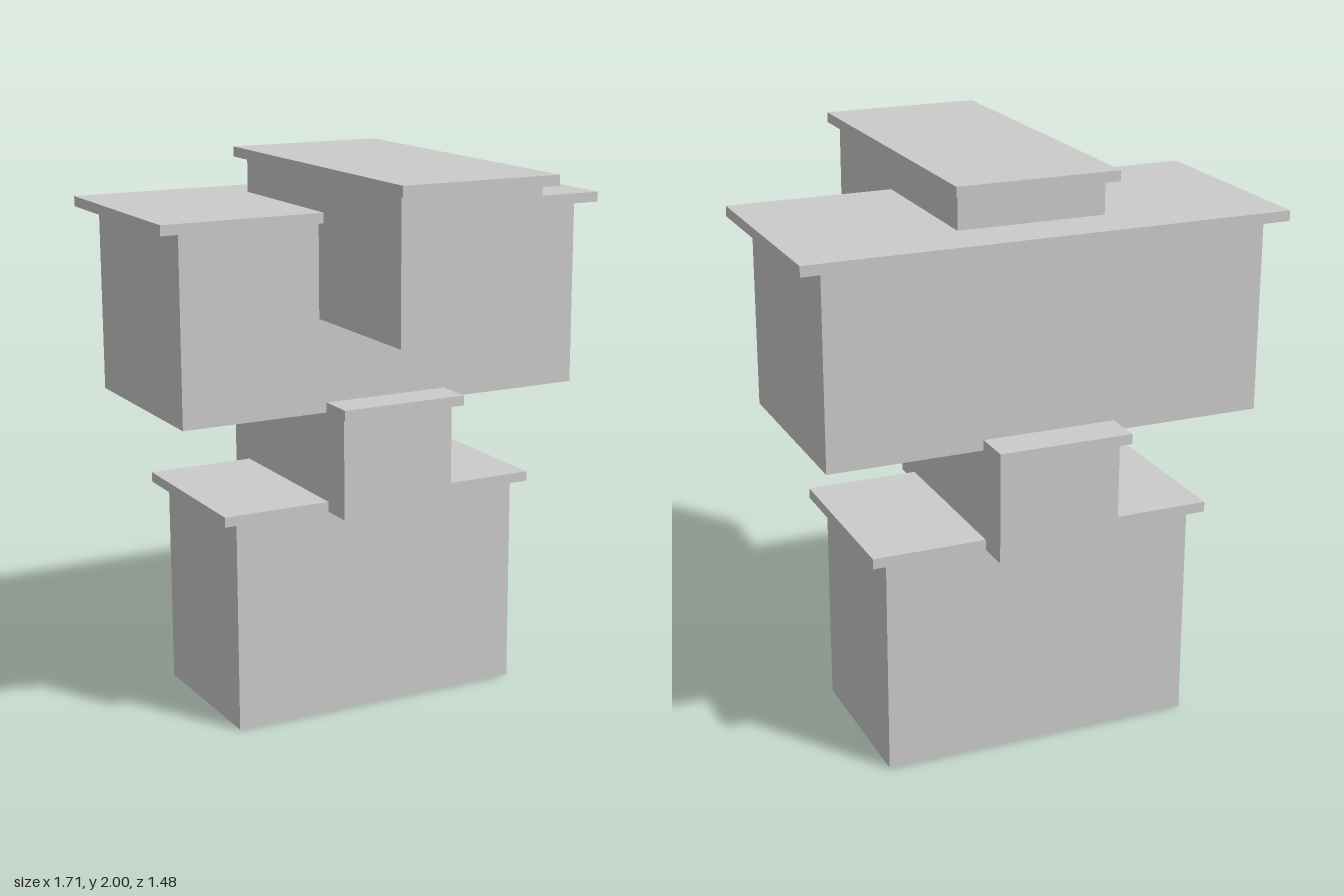
import * as THREE from 'three';

const material = new THREE.MeshStandardMaterial({ color: 0xcccccc });

// Box symmetric in x, given its half width and its y and z extents
function block(name, halfWidth, y0, y1, z0, z1) {
  const mesh = new THREE.Mesh(new THREE.BoxGeometry(halfWidth * 2, y1 - y0, z1 - z0), material);
  mesh.name = name;
  mesh.position.set(0, (y0 + y1) / 2, (z0 + z1) / 2);
  return mesh;
}

// Each storey: a plain volume and an overhanging flat roof slab
const ROOF = 0.036;
const storeys = [
  { name: 'groundStorey', wall: [0.56, 0, 0.769, -0.542, 0.058], roof: [0.615, -0.57, 0.085] },
  { name: 'secondStorey', wall: [0.215, 0.769, 1.139, -0.69, 0.206], roof: [0.236, -0.738, 0.254] },
  { name: 'thirdStorey', wall: [0.776, 1.139, 1.805, -0.6, 0.116], roof: [0.853, -0.638, 0.153] },
  { name: 'topStorey', wall: [0.262, 1.472, 1.964, -0.447, 0.684], roof: [0.289, -0.505, 0.741] },
];

export function createModel() {
  const model = new THREE.Group();
  model.name = 'stackedHouse';
  for (const { name, wall, roof } of storeys) {
    const storey = new THREE.Group();
    storey.name = name;
    const top = wall[2];
    storey.add(block(name + 'Walls', ...wall));
    storey.add(block(name + 'Roof', roof[0], top, top + ROOF, roof[1], roof[2]));
    model.add(storey);
  }
  return model;
}
